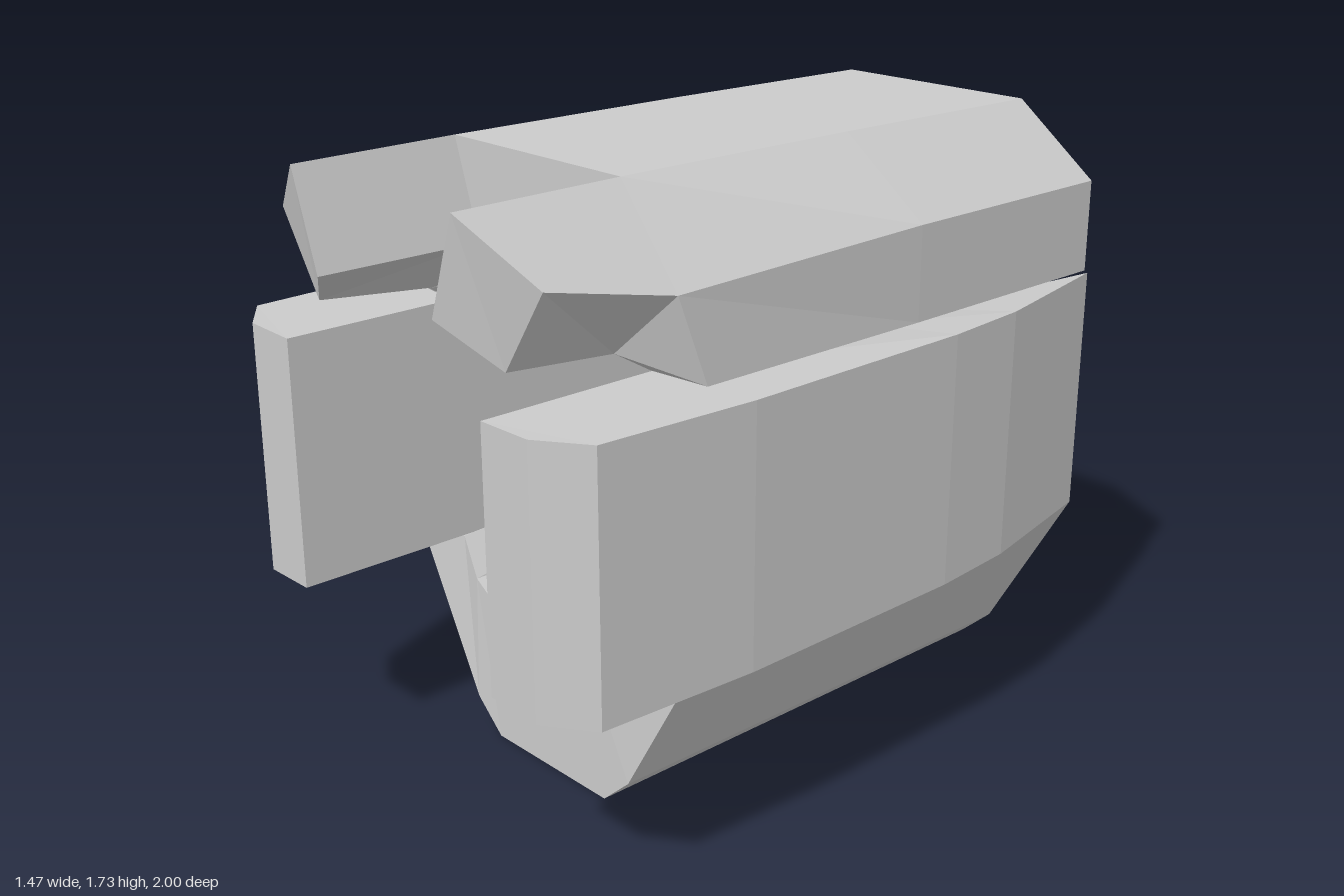
import * as THREE from 'three';

const material = new THREE.MeshStandardMaterial({ color: 0xcccccc, flatShading: true });

// Closed solid through a series of matching loops of [x, y, z] points
function loft(name, loops) {
  const n = loops[0].length;
  const pts = loops.flat().map((p) => new THREE.Vector3(...p));
  const tris = [];
  for (let s = 0; s < loops.length - 1; s++) {
    for (let i = 0; i < n; i++) {
      const a = s * n + i, b = s * n + (i + 1) % n;
      tris.push([a, b, b + n], [a, b + n, a + n]);
    }
  }
  const last = (loops.length - 1) * n;
  for (let i = 1; i < n - 1; i++) {
    tris.push([0, i + 1, i], [last, last + i, last + i + 1]);
  }
  // Turn every face outward, whichever way the loops run
  const cross = new THREE.Vector3();
  let volume = 0;
  for (const [a, b, c] of tris) volume += pts[a].dot(cross.crossVectors(pts[b], pts[c]));
  const index = tris.flatMap(([a, b, c]) => (volume < 0 ? [a, c, b] : [a, b, c]));

  const indexed = new THREE.BufferGeometry().setFromPoints(pts);
  indexed.setIndex(index);
  const geometry = indexed.toNonIndexed();
  geometry.computeVertexNormals();
  const mesh = new THREE.Mesh(geometry, material);
  mesh.name = name;
  return mesh;
}

const flip = (loop) => loop.map(([x, y, z]) => [-x, y, z]);

// Loops given for the left half, continued across to the right half
const across = (half) => [...half, ...half.map(flip).reverse()];

export function createModel() {
  const group = new THREE.Group();

  // Lower trough, lofted around its profile: outer back, outer front, inner front, inner back
  group.add(loft('lowerTrough', across([
    [[0.6, 0.56, -1], [0.6, 0.56, 0.5], [0.41, 0.56, 0.48], [0.4, 0.66, -1]],
    [[0.33, 0.09, -1], [0.33, 0.09, 0.51], [0.33, 0.46, 0.5], [0.33, 0.46, -1]],
    [[0.23, 0, -1], [0.23, 0, 0.51], [0.18, 0.38, 0.51], [0.18, 0.38, -1]],
  ])));

  // Upper arch: outer back, outer middle, outer front, inner front, inner back
  group.add(loft('upperArch', across([
    [[0.59, 1.27, -1], [0.6, 1.27, -0.27], [0.59, 1.265, 0.47], [0.41, 1.265, 0.49], [0.4, 1.18, -1]],
    [[0.59, 1.53, -1], [0.6, 1.53, -0.27], [0.575, 1.5, 0.55], [0.38, 1.32, 0.58], [0.38, 1.33, -1]],
    [[0.33, 1.725, -1], [0.33, 1.73, -0.27], [0.33, 1.73, 0.51], [0.24, 1.46, 0.51], [0.19, 1.44, -1]],
  ])));

  // Bulging side rails: z, outer x, inner x, inner bottom y, inner top y
  const rail = [
    [-1, 0.6, 0.4, 0.66, 1.18],
    [-0.55, 0.7, 0.403, 0.63, 1.205],
    [-0.28, 0.725, 0.405, 0.61, 1.22],
    [0.45, 0.735, 0.41, 0.563, 1.263],
    [0.91, 0.71, 0.41, 0.563, 1.262],
    [1, 0.58, 0.41, 0.563, 1.262],
  ].map(([z, out, inn, low, high]) => [
    [out, 0.56, z], [out, 1.265, z], [inn, high, z], [inn, low, z],
  ]);

  // Prongs that carry the shoulders of the arch forward
  const prong = [
    [[0.33, 1.73, 0.51], [0.24, 1.46, 0.51], [0.38, 1.32, 0.58], [0.575, 1.5, 0.55]],
    [[0.33, 1.725, 1], [0.24, 1.46, 1], [0.39, 1.35, 0.91], [0.535, 1.57, 0.91]],
  ];

  group.add(loft('leftRail', rail), loft('rightRail', rail.map(flip)));
  group.add(loft('leftProng', prong), loft('rightProng', prong.map(flip)));
  return group;
}
